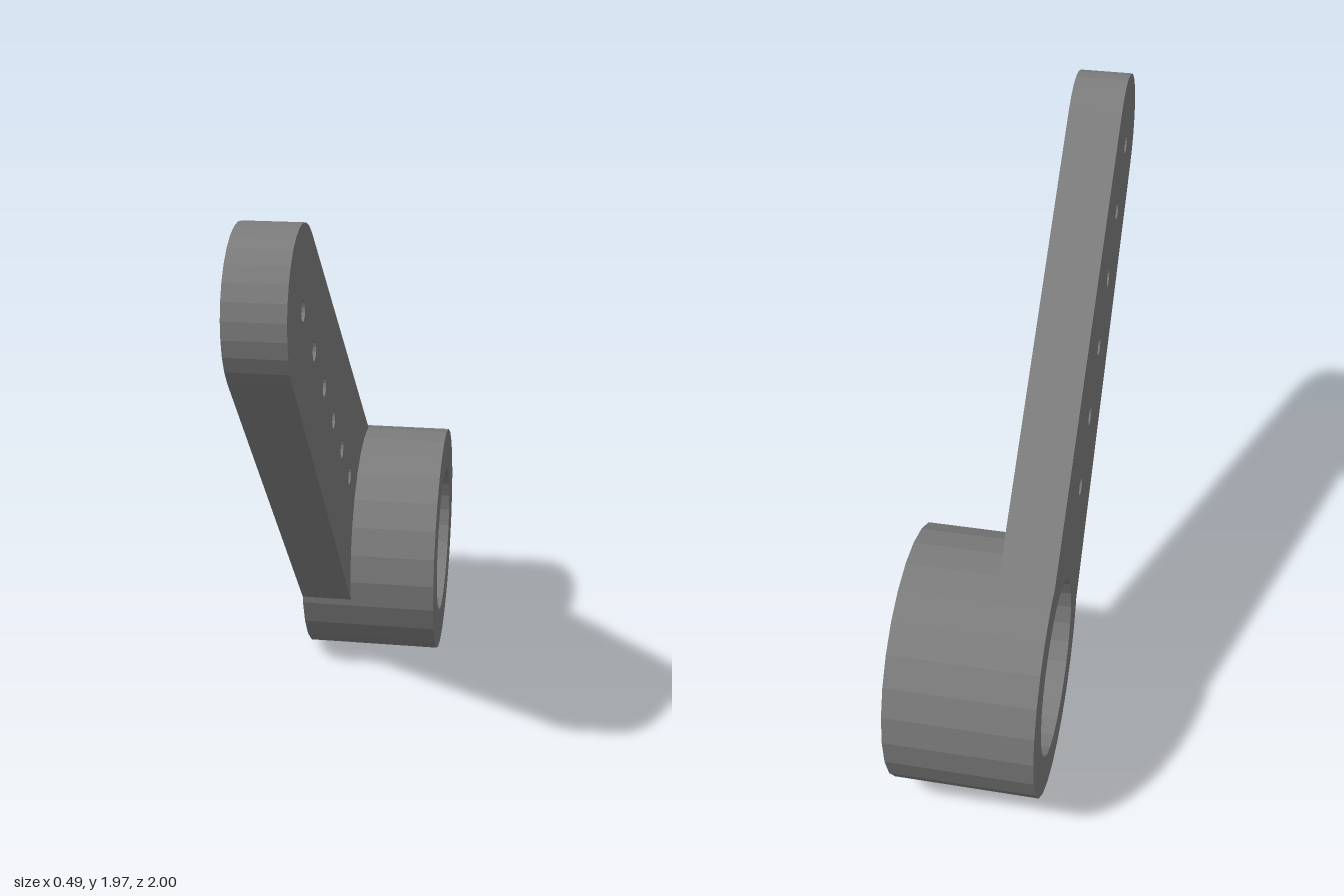
import * as THREE from 'three';

const material = new THREE.MeshStandardMaterial({ color: 0x7c7c7c, flatShading: true });
const HUB = { z: -0.568, y: 0.435, r: 0.432 };
const TIP = { z: 0.755, y: 1.73, r: 0.245 };
const rad = THREE.MathUtils.degToRad;

// Hub: a revolved section with a pocket at each end and a bored web between them
function createHub() {
  const section = [
    [HUB.r, -0.245], [HUB.r, 0.245], [0.28, 0.245], [0.28, 0.005], [0.125, 0.005],
    [0.125, -0.125], [0.298, -0.125], [0.298, -0.245], [HUB.r, -0.245],
  ].map(([r, x]) => new THREE.Vector2(r, x));
  const geometry = new THREE.LatheGeometry(section, 26);
  geometry.rotateZ(-Math.PI / 2);
  const hub = new THREE.Mesh(geometry, material);
  hub.position.set(0, HUB.y, HUB.z);
  hub.name = 'hub';
  return hub;
}

// Arm: a tapered side profile in (z, y) with a round tip, ending inside the hub wall
function createArm() {
  const shape = new THREE.Shape();
  shape.absarc(TIP.z, TIP.y, TIP.r, rad(-41.6), rad(130.2), false);
  shape.absarc(HUB.z, HUB.y, 0.42, rad(102), rad(-12.5), true);
  shape.closePath();

  // Row of linkage holes
  for (let i = 0; i < 6; i++) {
    const hole = new THREE.Path();
    hole.absarc(TIP.z - i * 0.1762, TIP.y - i * 0.1726, 0.032, 0, Math.PI * 2, false);
    shape.holes.push(hole);
  }

  const geometry = new THREE.ExtrudeGeometry(shape, { depth: 0.182, bevelEnabled: false, curveSegments: 7 });
  geometry.rotateY(-Math.PI / 2);
  const arm = new THREE.Mesh(geometry, material);
  arm.position.x = -0.063;
  arm.name = 'arm';
  return arm;
}

export function createModel() {
  const model = new THREE.Group();
  model.name = 'servoHorn';
  model.add(createHub(), createArm());
  return model;
}
